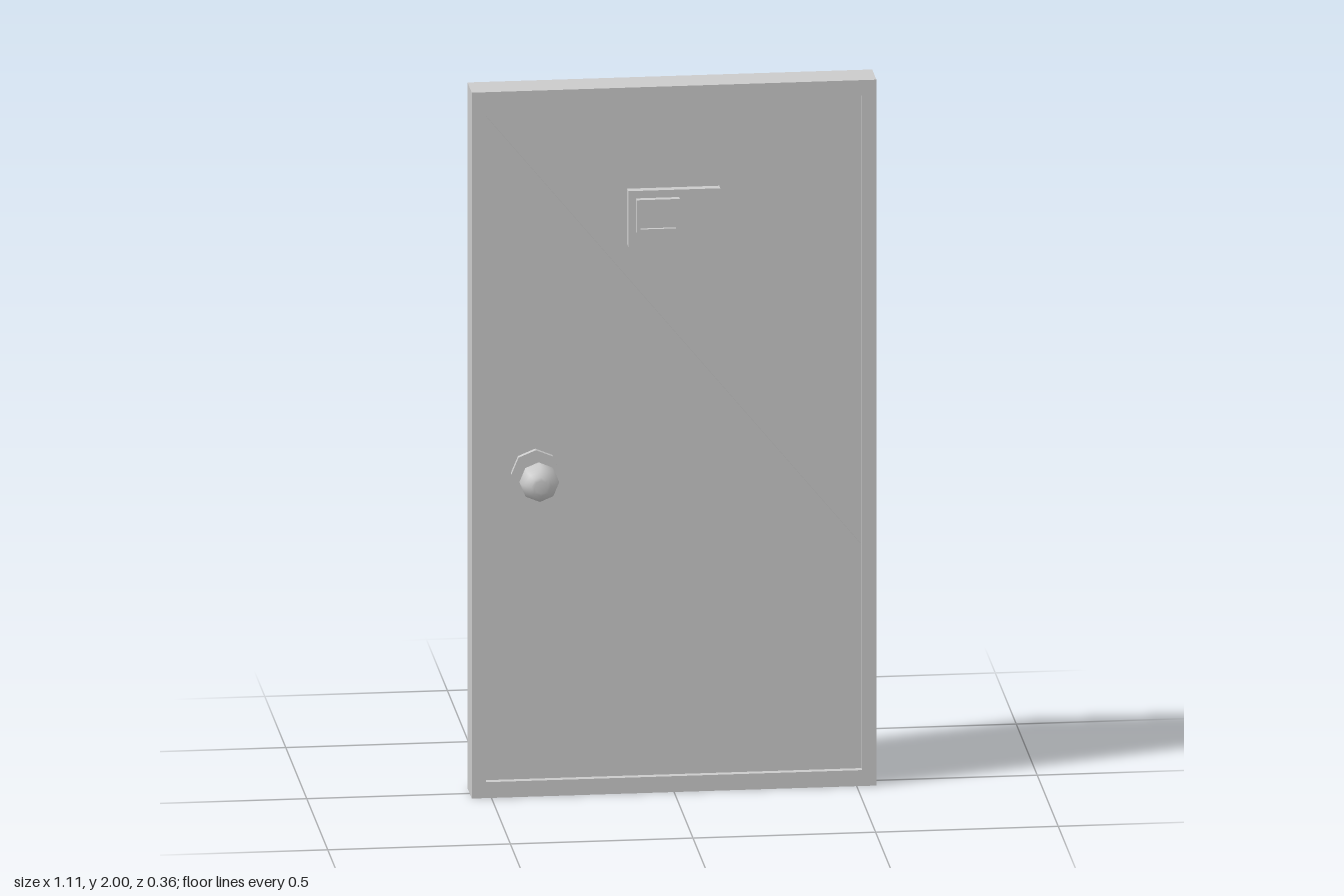
import * as THREE from 'three';

const material = new THREE.MeshStandardMaterial({ color: 0xcccccc });

// Corner list of an axis-aligned rectangle
const rect = (x0, y0, x1, y1) => [[x0, y0], [x1, y0], [x1, y1], [x0, y1]];
const toPoints = (list) => list.map(([x, y]) => new THREE.Vector2(x, y));

// Flat outline, optionally with an opening, reaching equally far to front and back
function slab(name, outline, halfDepth, opening) {
  const shape = new THREE.Shape(toPoints(outline));
  if (opening) shape.holes.push(new THREE.Path(toPoints(opening)));
  const geometry = new THREE.ExtrudeGeometry(shape, { depth: halfDepth * 2, bevelEnabled: false });
  geometry.translate(0, 0, -halfDepth);
  const mesh = new THREE.Mesh(geometry, material);
  mesh.name = name;
  return mesh;
}

// Ball knob on a neck, turned about an axis that runs through the door
function knob(side) {
  const centre = 0.127, radius = 0.054;
  const points = [new THREE.Vector2(0.0215, 0.02)];
  const start = -Math.PI / 2 + 0.41, end = Math.PI / 2 - 0.35;
  for (let i = 0; i <= 14; i++) {
    const a = start + (end - start) * i / 14;
    points.push(new THREE.Vector2(radius * Math.cos(a), centre + radius * Math.sin(a)));
  }
  points.push(new THREE.Vector2(0, centre + radius * Math.sin(end)));
  const geometry = new THREE.LatheGeometry(points, 8);
  geometry.rotateX(side * Math.PI / 2);
  const mesh = new THREE.Mesh(geometry, material);
  mesh.name = side > 0 ? 'frontKnob' : 'backKnob';
  return mesh;
}

export function createModel() {
  const door = new THREE.Group();
  door.name = 'door';

  // Frame around a recessed panel
  const opening = rect(-0.515, 0.045, 0.515, 1.957);
  door.add(slab('frame', rect(-0.554, 0, 0.554, 2), 0.05, opening));
  door.add(slab('panel', opening, 0.03));

  // Diagonal brace, cut upright where it meets the frame
  door.add(slab('diagonalBrace', [[-0.515, 1.775], [0.515, 0.53], [0.515, 0.68], [-0.515, 1.93]], 0.038));

  // Sign plate with a small framed window
  door.add(slab('plate', rect(-0.126, 1.55, 0.126, 1.708), 0.055));
  const pane = rect(-0.095, 1.604, 0.003, 1.677);
  door.add(slab('windowRim', rect(-0.105, 1.594, 0.013, 1.687), 0.074, pane));
  door.add(slab('windowPane', pane, 0.064));

  // Handle set: eight-sided rosette and a knob on each side
  const handle = new THREE.Group();
  handle.name = 'handle';
  const rosette = new THREE.Mesh(new THREE.CylinderGeometry(0.067, 0.067, 0.092, 8).toNonIndexed(), material);
  rosette.geometry.computeVertexNormals();
  rosette.rotation.x = Math.PI / 2;
  rosette.name = 'rosette';
  handle.add(rosette, knob(1), knob(-1));
  handle.position.set(-0.378, 0.913, 0);
  door.add(handle);

  return door;
}
